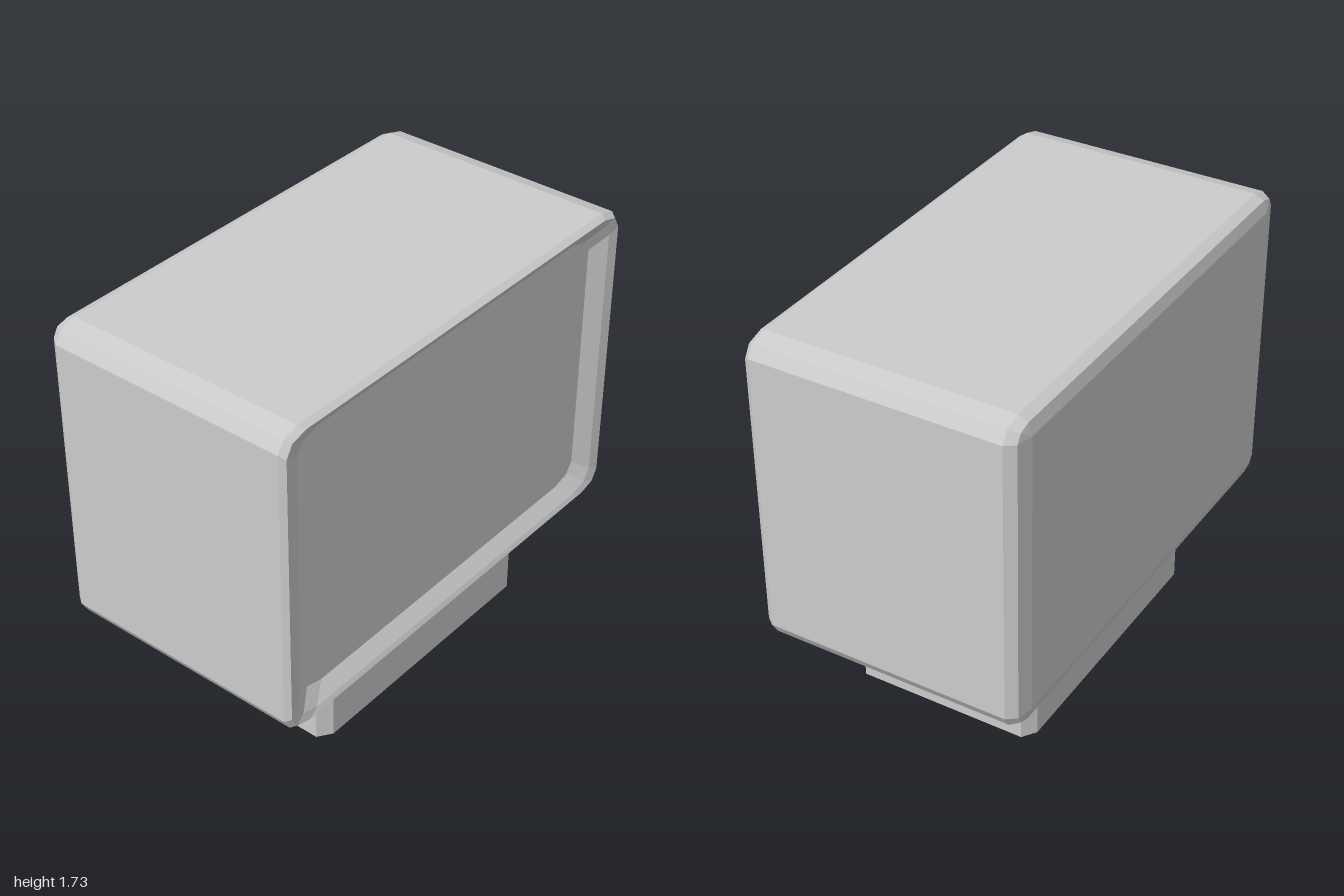
import * as THREE from 'three';

const material = new THREE.MeshStandardMaterial({ color: 0xcccccc, flatShading: true });

// Rounded rectangle in the z/y plane at height x: half sizes hz, hy, corner radii rz, ry
function ring(x, hz, hy, rz, ry, segments = 2) {
  const points = [];
  for (let corner = 0; corner < 4; corner++) {
    const sz = corner === 0 || corner === 3 ? -1 : 1;
    const sy = corner < 2 ? 1 : -1;
    for (let i = 0; i <= segments; i++) {
      const a = (corner + i / segments) * Math.PI / 2;
      points.push(new THREE.Vector3(x, sy * (hy - ry) + ry * Math.sin(a), sz * (hz - rz) - rz * Math.cos(a)));
    }
  }
  return points;
}

// Skin a list of rings running towards +x, with optional end caps
function loft(name, rings, { startCap = false, endCap = false } = {}) {
  const positions = [];
  const triangle = (a, b, c) => {
    const area = b.clone().sub(a).cross(c.clone().sub(a)).length();
    if (area > 1e-8) for (const p of [a, b, c]) positions.push(p.x, p.y, p.z);
  };
  const n = rings[0].length;
  for (let i = 0; i < rings.length - 1; i++) {
    for (let j = 0; j < n; j++) {
      const k = (j + 1) % n;
      triangle(rings[i][j], rings[i][k], rings[i + 1][k]);
      triangle(rings[i][j], rings[i + 1][k], rings[i + 1][j]);
    }
  }
  const first = rings[0], last = rings[rings.length - 1];
  for (let j = 1; j < n - 1; j++) {
    if (startCap) triangle(first[0], first[j + 1], first[j]);
    if (endCap) triangle(last[0], last[j], last[j + 1]);
  }
  const geometry = new THREE.BufferGeometry();
  geometry.setAttribute('position', new THREE.Float32BufferAttribute(positions, 3));
  geometry.computeVertexNormals();
  const mesh = new THREE.Mesh(geometry, material);
  mesh.name = name;
  return mesh;
}

// Box with a single bevel whose width differs along each axis
function bevelledBox(name, hx, hy, hz, bx, by, bz) {
  return loft(name, [
    ring(-hx, hz - bz, hy - by, 0, 0, 1),
    ring(-hx + bx, hz, hy, bz, by, 1),
    ring(hx - bx, hz, hy, bz, by, 1),
    ring(hx, hz - bz, hy - by, 0, 0, 1),
  ], { startCap: true, endCap: true });
}

// Upright block: the strong corner chamfer runs vertically, top and bottom edges are slim
function upright(name, x0, x1, y0, y1, hz, bx, by, bz) {
  const mesh = bevelledBox(name, (x1 - x0) / 2, (y1 - y0) / 2, hz, bx, by, bz);
  mesh.position.set((x0 + x1) / 2, (y0 + y1) / 2, 0);
  return mesh;
}

export function createModel() {
  const model = new THREE.Group();
  model.name = 'monitor';

  // Head: casing, sloped bezel and recessed screen facing +x
  const head = new THREE.Group();
  head.name = 'head';
  head.position.y = 1.06;
  const rim = ring(0.56, 0.985, 0.655, 0.1, 0.07);
  const recess = ring(0.505, 0.87, 0.58, 0.115, 0.07);
  head.add(
    loft('casing', [
      ring(-0.56, 0.9, 0.6, 0, 0),
      ring(-0.545, 0.97, 0.65, 0.07, 0.05),
      ring(-0.505, 1, 0.67, 0.1, 0.07),
      ring(0.535, 1, 0.67, 0.1, 0.07),
      rim,
    ], { startCap: true }),
    loft('bezel', [rim, ring(0.55, 0.94, 0.635, 0.105, 0.07), recess]),
    loft('screen', [recess], { endCap: true }),
  );
  model.add(head);

  // Stand
  model.add(
    upright('neck', -0.195, 0.055, 0.22, 0.42, 0.14, 0.012, 0.01, 0.015),
    upright('base', -0.395, 0.415, 0, 0.255, 0.635, 0.04, 0.012, 0.057),
  );
  return model;
}
